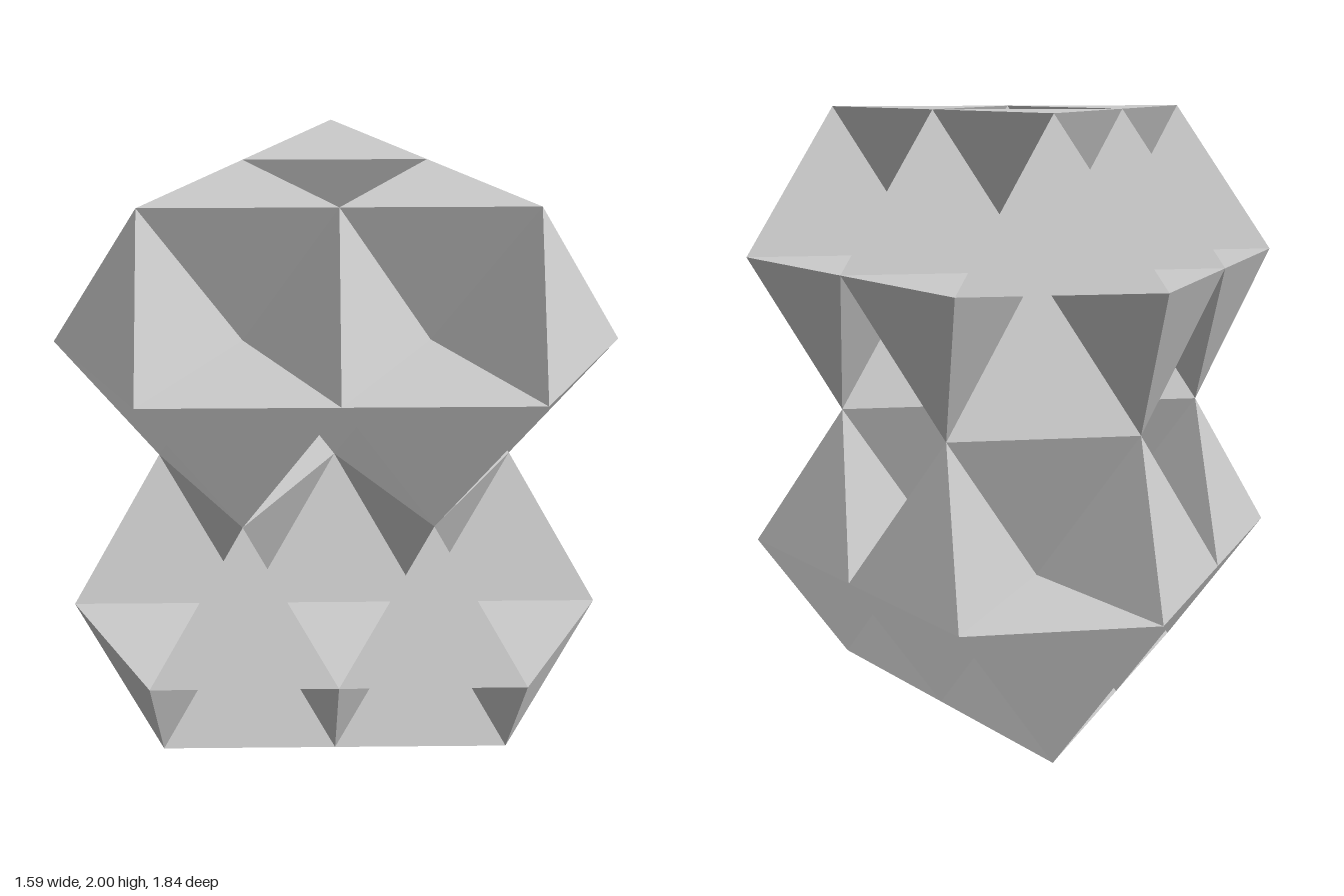
import * as THREE from 'three';

// Regular tetrahedra packed edge to edge in layers, with open octahedral gaps,
// mirrored about the middle plane.
const H = 0.5;                      // layer height
const EDGE = H / Math.sqrt(2 / 3);  // tetrahedron edge
const ROW = EDGE * Math.sqrt(3) / 2;
const R = EDGE / Math.sqrt(3);      // circumradius of a triangular face

// Tetrahedron with its tip up or down; one base corner points along dir (+1 / -1) in x
function tetraGeometry(tipUp, dir) {
  const g = new THREE.ConeGeometry(R, H, 3);
  if (!tipUp) g.rotateX(Math.PI);
  g.rotateY((tipUp ? dir : -dir) * Math.PI / 2);
  return g;
}

// Triangular grid of points [x, z] that starts at x0 and widens towards +x
function triangleGrid(x0, rows) {
  const points = [];
  for (let i = 0; i < rows; i++)
    for (let k = 0; k <= i; k++) points.push([x0 + i * ROW, (k - i / 2) * EDGE]);
  return points;
}

// Centre point and the six points around it
function hexagonGrid(cx) {
  const points = [[cx, 0]];
  for (let k = 0; k < 6; k++) {
    const a = Math.PI / 6 + k * Math.PI / 3;
    points.push([cx + EDGE * Math.cos(a), EDGE * Math.sin(a)]);
  }
  return points;
}

export function createModel() {
  const model = new THREE.Group();
  model.name = 'tetrahedronCluster';
  const material = new THREE.MeshStandardMaterial({ color: 0xcccccc, flatShading: true });

  const six = triangleGrid(-ROW / 2 - R, 3);
  const three = triangleGrid(-ROW / 2, 2);
  const seven = hexagonGrid(R / 4);

  // Upper half: layer centre height above the middle plane, tip direction, tip positions
  const layers = [
    { name: 'outerPeak', y: 1.5 * H, out: true, points: six },
    { name: 'outerInfill', y: 1.5 * H, out: false, points: three },
    { name: 'innerWedge', y: 0.5 * H, out: false, points: seven },
    { name: 'corePeak', y: 0.5 * H, out: true, points: three },
  ];

  for (const side of [1, -1]) {
    const half = new THREE.Group();
    half.name = side > 0 ? 'upperHalf' : 'lowerHalf';
    for (const { name, y, out, points } of layers) {
      const geometry = tetraGeometry(out === (side > 0), out ? 1 : -1);
      for (const [x, z] of points) {
        const mesh = new THREE.Mesh(geometry, material);
        mesh.name = name;
        mesh.position.set(x, 2 * H + side * y, z);
        half.add(mesh);
      }
    }
    model.add(half);
  }
  return model;
}
